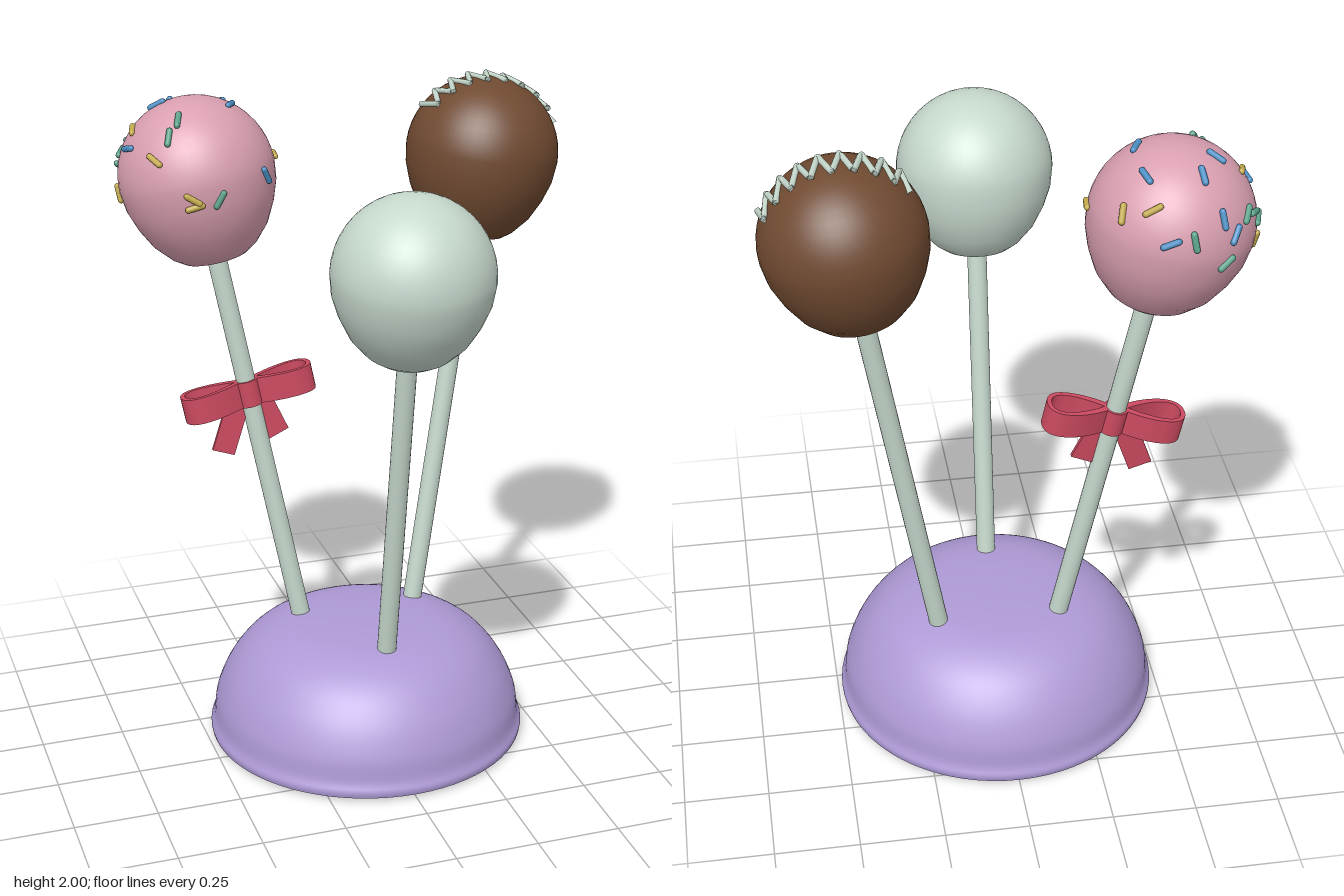
import * as THREE from 'three';

const UP = new THREE.Vector3(0, 1, 0);
const V = (x, y, z) => new THREE.Vector3(x, y, z);
const P = (x, y) => new THREE.Vector2(x, y);

function paint(name, color) {
  const m = new THREE.MeshStandardMaterial({ color });
  m.name = name;
  return m;
}

function part(parent, name, geometry, material) {
  const mesh = new THREE.Mesh(geometry, material);
  mesh.name = name;
  parent.add(mesh);
  return mesh;
}

// Round-topped head that narrows to a small dimple around the stick
function headGeometry(R) {
  const pts = [P(0.02, -0.215), P(0.055, -0.235), P(0.08, -0.25), P(0.1, -0.247),
    P(0.13, -0.226), P(0.172, -0.178), P(0.203, -0.118), P(0.223, -0.06)];
  for (let i = 0; i <= 12; i++) {
    const a = (i / 12) * Math.PI / 2;
    pts.push(P(R * Math.cos(a), R * Math.sin(a)));
  }
  pts[pts.length - 1].x = 0;
  return new THREE.LatheGeometry(pts, 48);
}

// Teardrop ribbon loop, lying flat and extruded along the stick
function loopGeometry(width) {
  const tear = (path, x0, x1, h) => {
    path.moveTo(x0, 0);
    path.bezierCurveTo(x0 + 0.06, -h * 0.9, x1, -h * 1.75, x1, 0);
    path.bezierCurveTo(x1, h * 1.75, x0 + 0.06, h * 0.9, x0, 0);
    return path;
  };
  const shape = tear(new THREE.Shape(), 0, 0.205, 0.052);
  shape.holes.push(tear(new THREE.Path(), 0.035, 0.191, 0.038));
  const g = new THREE.ExtrudeGeometry(shape, { depth: width, bevelEnabled: false, curveSegments: 16 });
  g.translate(0, 0, -width / 2);
  g.rotateX(Math.PI / 2);
  return g;
}

export function createModel() {
  const model = new THREE.Group();
  model.name = 'cakePopDisplay';

  const lilac = paint('lilac', 0xae9ad6);
  const mint = paint('mint', 0xc6d8cc);
  const pink = paint('pink', 0xd99fb0);
  const brown = paint('chocolate', 0x704a31);
  const red = paint('ribbon red', 0xcb4a60);
  const blue = paint('sprinkle blue', 0x4a8fc4);
  const yellow = paint('sprinkle yellow', 0xc4ac4e);
  const green = paint('sprinkle green', 0x5aa28a);

  // Domed base with a slight rim and a recessed foot
  const base = new THREE.Group();
  base.name = 'base';
  base.position.z = -0.08;
  model.add(base);
  const dome = new THREE.SplineCurve([P(0.486, 0.012), P(0.488, 0.03), P(0.477, 0.06), P(0.466, 0.13),
    P(0.425, 0.22), P(0.355, 0.3), P(0.255, 0.35), P(0.13, 0.367), P(0, 0.37)]);
  const domePts = dome.getPoints(40);
  domePts[40].x = 0;
  part(base, 'dome', new THREE.LatheGeometry(domePts, 72), lilac);
  part(base, 'underside', new THREE.CylinderGeometry(0.486, 0.486, 0.008, 72), lilac).position.y = 0.015;
  part(base, 'foot', new THREE.CylinderGeometry(0.37, 0.37, 0.012, 64), lilac).position.y = 0.006;

  // Each pop: a stick and a head sharing one leaning axis
  const R = 0.23;
  const headGeo = headGeometry(R);
  function pop(name, foot, head, material) {
    const group = new THREE.Group();
    group.name = name;
    model.add(group);
    const axis = head.clone().sub(foot);
    const length = axis.length() - 0.19;
    axis.normalize();
    const tilt = new THREE.Quaternion().setFromUnitVectors(UP, axis);
    const stick = part(group, 'stick', new THREE.CylinderGeometry(0.029, 0.029, length, 20), mint);
    stick.position.copy(foot).addScaledVector(axis, length / 2);
    stick.quaternion.copy(tilt);
    const ball = part(group, 'head', headGeo, material);
    ball.position.copy(head);
    ball.quaternion.copy(tilt);
    return { group, foot, head, axis, tilt };
  }
  pop('mintPop', V(0, 0.32, 0.118), V(0, 1.61, 0.345), mint);
  const chocolate = pop('chocolatePop', V(0.188, 0.32, -0.195), V(0.44, 1.76, -0.295), brown);
  const berry = pop('pinkPop', V(-0.17, 0.32, -0.195), V(-0.437, 1.76, -0.315), pink);

  // Zigzag icing across the top of the chocolate head
  const turns = 17;
  const zig = [];
  for (let i = 0; i <= turns; i++) {
    const a = THREE.MathUtils.degToRad(-50 + (120 * i) / turns);
    const z = i % 2 ? 0.047 : -0.05;
    const k = Math.sqrt(0.236 ** 2 - z * z);
    zig.push(V(k * Math.sin(a), k * Math.cos(a), z).add(chocolate.head));
  }
  const icing = new THREE.CurvePath();
  for (let i = 0; i < turns; i++) icing.add(new THREE.LineCurve3(zig[i], zig[i + 1]));
  part(chocolate.group, 'icing', new THREE.TubeGeometry(icing, turns * 8, 0.009, 8, false), mint);

  // Sprinkles: offset from head centre, then angle in the surface
  const sprinkles = [
    [blue, [[-0.05, 0.19, -0.12, 95], [-0.1, 0.2, -0.045, -30], [0.095, 0.187, -0.095, -70],
      [0.095, 0.206, 0.035, 57], [-0.205, 0.1, 0.03, -55], [0.165, 0.025, 0.16, -55],
      [-0.13, 0.045, -0.185, 60], [0.05, 0.05, -0.22, 20], [-0.1, 0.1, -0.2, 100]]],
    [yellow, [[-0.18, 0.142, -0.015, 65], [-0.155, 0.09, 0.145, -50], [0.09, 0.126, -0.17, 20],
      [0.16, 0.1, -0.13, 75], [0.23, 0.05, 0.03, 60], [-0.065, -0.012, 0.22, -30],
      [-0.06, -0.035, 0.22, 20], [-0.22, -0.05, -0.05, 60]]],
    [green, [[-0.11, 0.15, 0.135, 70], [-0.075, 0.19, 0.105, 70], [-0.215, 0.03, -0.075, 40],
      [-0.17, 0.075, -0.135, 60], [0.01, -0.015, 0.23, 60], [-0.013, 0.053, -0.222, 100],
      [-0.104, -0.028, -0.202, 30], [-0.2, 0.06, -0.1, 10]]],
  ];
  const grain = new THREE.CapsuleGeometry(0.009, 0.042, 4, 10);
  for (const [material, list] of sprinkles) {
    for (const [x, y, z, degrees] of list) {
      const n = V(x, y, z).normalize();
      const along = V(1, 0, 0).addScaledVector(n, -n.x).normalize();
      along.applyAxisAngle(n, THREE.MathUtils.degToRad(degrees));
      const s = part(berry.group, 'sprinkle', grain, material);
      s.position.copy(berry.head).addScaledVector(n, R + 0.002);
      s.quaternion.setFromUnitVectors(UP, along);
    }
  }

  // Ribbon bow tied round the pink pop's stick
  const bow = new THREE.Group();
  bow.name = 'bow';
  bow.position.copy(berry.foot).addScaledVector(berry.axis, (1.09 - 0.32) / berry.axis.y);
  bow.quaternion.copy(berry.tilt);
  berry.group.add(bow);
  const loop = loopGeometry(0.08);
  part(bow, 'bowLoop', loop, red);
  part(bow, 'bowLoop', loop, red).rotation.y = Math.PI;
  part(bow, 'knot', new THREE.CylinderGeometry(0.036, 0.036, 0.08, 20), red);
  for (const [x0, y0, x1, y1] of [[-0.03, -0.01, -0.118, -0.163], [0.025, -0.01, 0.06, -0.155]]) {
    const d = V(x1 - x0, y1 - y0, 0);
    const tail = part(bow, 'bowTail', new THREE.BoxGeometry(0.07, d.length(), 0.012), red);
    tail.position.set((x0 + x1) / 2, (y0 + y1) / 2, 0);
    tail.rotation.z = Math.atan2(d.x, -d.y);
  }

  return model;
}
